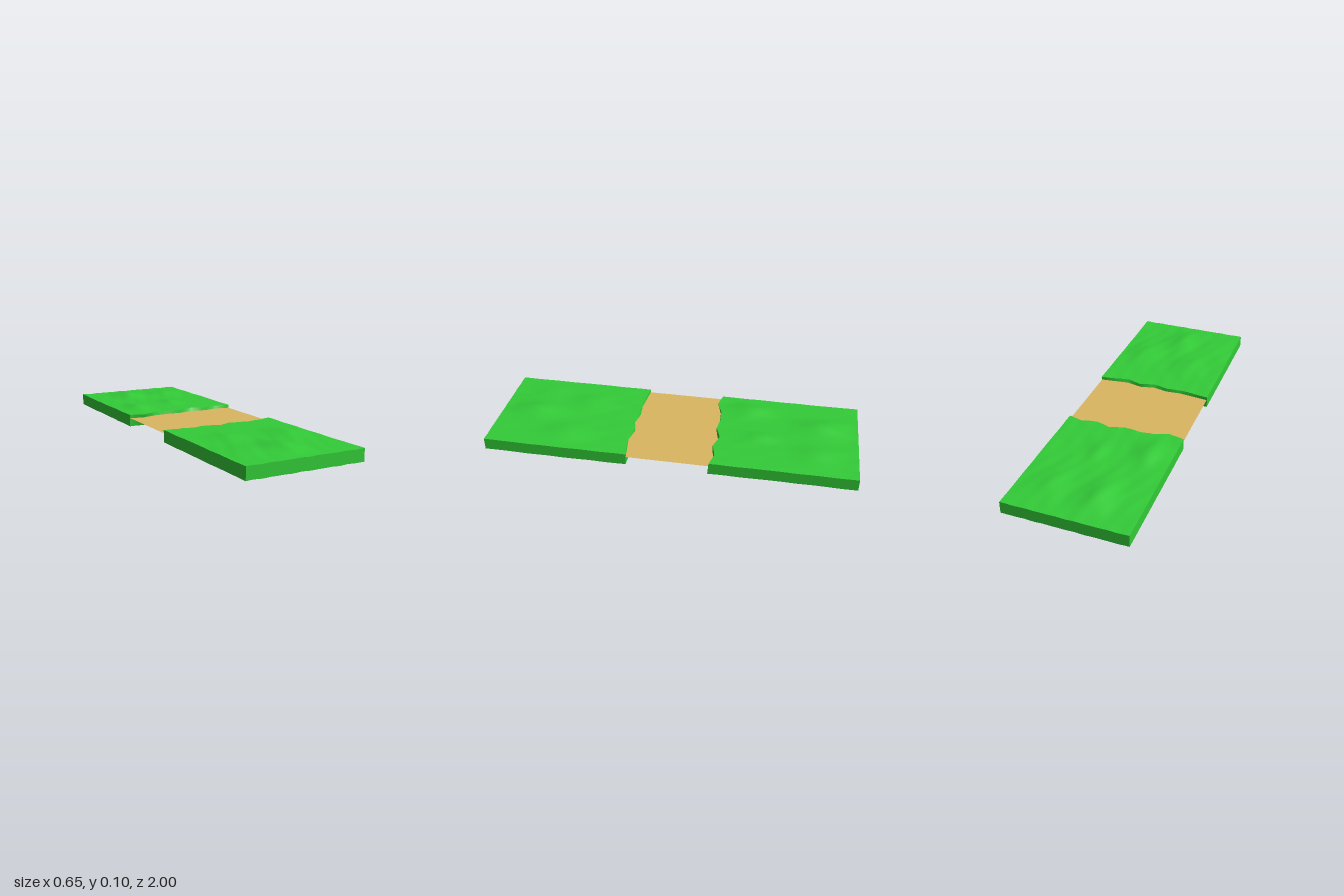
import * as THREE from 'three';

const W = 0.65, BOTTOM = 0.015, TOP = 0.08;

// Torn edge of each grass slab: z at evenly spaced x, left to right
const FRONT_EDGE = [0.21, 0.22, 0.23, 0.22, 0.24, 0.215, 0.24, 0.225, 0.21];
const BACK_EDGE = [-0.225, -0.205, -0.235, -0.24, -0.23, -0.257, -0.23, -0.25, -0.23];

// Mounds: x, z, height, radius in x, radius in z
const FRONT_MOUNDS = [
  [0, 0.8, 0.022, 0.08, 0.12], [0.18, 0.58, 0.016, 0.07, 0.12],
  [-0.12, 0.52, 0.013, 0.07, 0.1], [-0.2, 0.78, 0.008, 0.07, 0.1],
];
const BACK_MOUNDS = [
  [-0.2, -0.4, 0.02, 0.06, 0.1], [-0.09, -0.8, 0.023, 0.07, 0.12],
  [0.05, -0.47, 0.012, 0.05, 0.08], [0.16, -0.78, 0.014, 0.08, 0.1],
];
// Lumps hanging below the slab
const FRONT_LUMPS = [[0.16, 0.7, 0.013, 0.03, 0.06], [0.1, 0.68, 0.004, 0.05, 0.06]];
const BACK_LUMPS = [[-0.1, -0.55, 0.003, 0.05, 0.08]];

function lerpList(list, t) {
  const f = Math.min(Math.max(t, 0), 1) * (list.length - 1);
  const i = Math.min(Math.floor(f), list.length - 2);
  return THREE.MathUtils.lerp(list[i], list[i + 1], f - i);
}

// Sum of soft bumps, fading out at the slab's sides
function bumps(list, x, z) {
  const fade = Math.min(1, (W / 2 - Math.abs(x)) / 0.05, (1 - Math.abs(z)) / 0.08);
  let h = 0;
  for (const [cx, cz, height, rx, rz] of list) {
    h += height * Math.exp(-(((x - cx) / rx) ** 2) - ((z - cz) / rz) ** 2);
  }
  return h * Math.max(fade, 0);
}

// Fine ripples stretched along the path
function ripple(x, z) {
  return Math.sin(x * 61 + Math.sin(z * 9) * 2) * Math.sin(z * 17 + x * 13);
}

// Grass slab: a fine box with a torn inner edge and uneven top and underside
function grassSlab(name, side, edge, innerBottom, mounds, lumps, material) {
  const geo = new THREE.BoxGeometry(W, 1, 1, 32, 1, 36);
  const p = geo.attributes.position;
  for (let i = 0; i < p.count; i++) {
    const x = p.getX(i);
    const isTop = p.getY(i) > 0;
    const t = 0.5 + side * p.getZ(i); // 0 at the torn edge, 1 at the outer end
    const inner = isTop ? lerpList(edge, x / W + 0.5) : innerBottom;
    const z = THREE.MathUtils.lerp(inner, side, t);
    const y = isTop
      ? TOP + bumps(mounds, x, z) + 0.0015 * ripple(x, z)
      : BOTTOM - bumps(lumps, x, z) - 0.0015 * ripple(x + 0.3, z);
    p.setXYZ(i, x, y, z);
  }
  geo.computeVertexNormals();
  const mesh = new THREE.Mesh(geo, material);
  mesh.name = name;
  return mesh;
}

export function createModel() {
  const group = new THREE.Group();
  group.name = 'grassWithPath';
  const grass = new THREE.MeshStandardMaterial({ color: 0x33cc38 });
  const dirt = new THREE.MeshStandardMaterial({ color: 0xdab761, side: THREE.DoubleSide });

  group.add(
    grassSlab('frontGrass', 1, FRONT_EDGE, 0.213, FRONT_MOUNDS, FRONT_LUMPS, grass),
    grassSlab('backGrass', -1, BACK_EDGE, -0.225, BACK_MOUNDS, BACK_LUMPS, grass),
  );

  // Thin dirt sheet bridging the two slabs
  const path = new THREE.Mesh(new THREE.PlaneGeometry(W - 0.004, 0.49).rotateX(-Math.PI / 2), dirt);
  path.name = 'dirtPath';
  path.position.set(0, 0.062, -0.005);
  group.add(path);
  return group;
}
